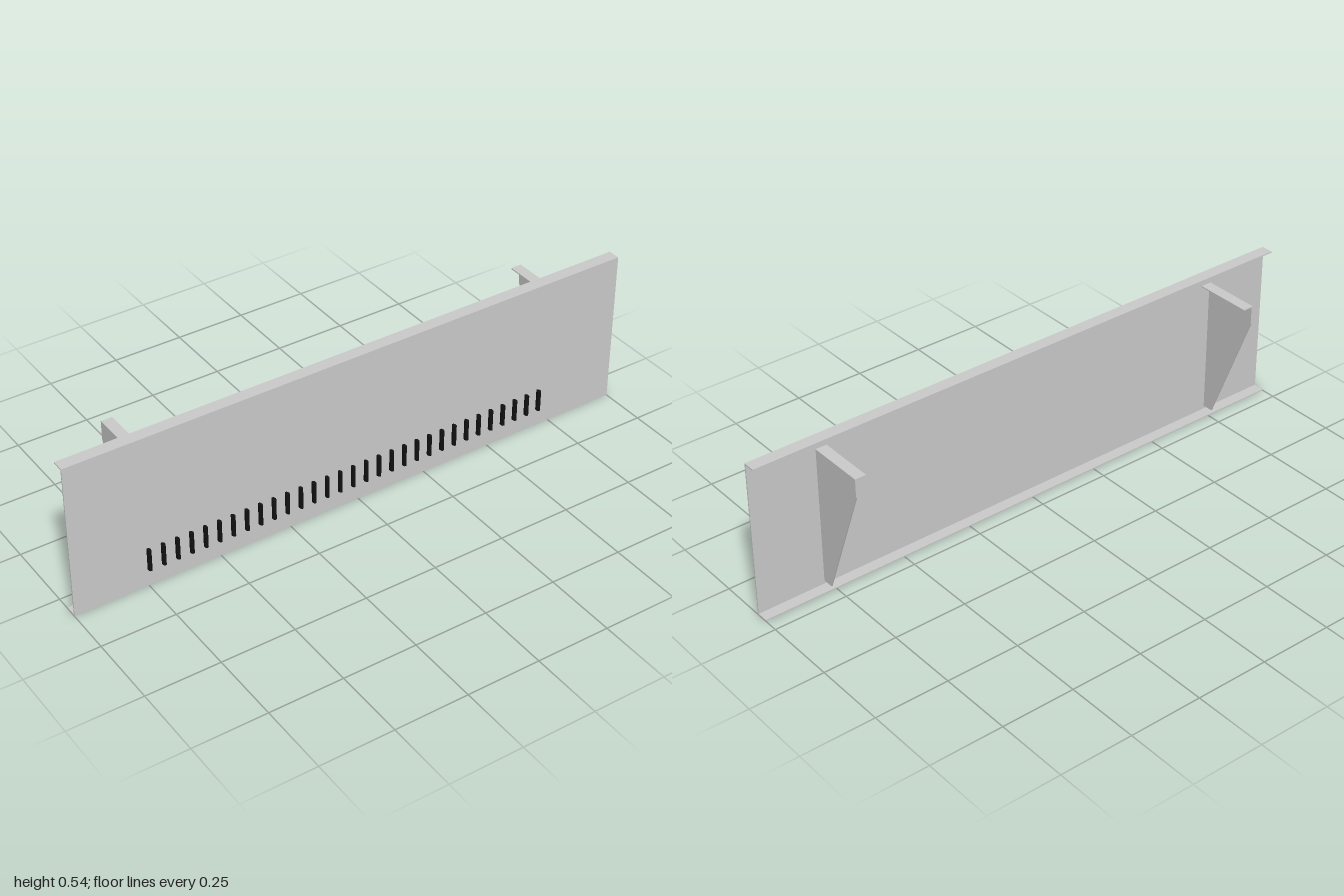
import * as THREE from 'three';

const grey = new THREE.MeshStandardMaterial({ color: 0xcccccc, flatShading: true });
const black = new THREE.MeshStandardMaterial({ color: 0x111111 });

// Extrudes a (z, y) outline along x, centred on x = 0
function extrudeAlongX(points, width) {
  const shape = new THREE.Shape(points.map(([z, y]) => new THREE.Vector2(-z, y)));
  const geometry = new THREE.ExtrudeGeometry(shape, { depth: width, bevelEnabled: false });
  return geometry.translate(0, 0, -width / 2).rotateY(Math.PI / 2);
}

function addMesh(parent, name, geometry, material) {
  const mesh = new THREE.Mesh(geometry, material);
  mesh.name = name;
  parent.add(mesh);
  return mesh;
}

// Angle bracket: tapered web on the outer side, flat flange on top pointing inward
function createBracket(side) {
  const bracket = new THREE.Group();
  bracket.name = side > 0 ? 'leftBracket' : 'rightBracket';
  const web = addMesh(bracket, 'bracketWeb', extrudeAlongX([
    [0.088, 0.015], [0.051, 0.015], [-0.109, 0.422], [-0.109, 0.486], [0.088, 0.486],
  ], 0.004), grey);
  web.position.x = side * 0.765;
  const flange = addMesh(bracket, 'bracketFlange', new THREE.BoxGeometry(0.034, 0.004, 0.197), grey);
  flange.position.set(side * 0.746, 0.484, -0.0105);
  return bracket;
}

export function createModel() {
  const model = new THREE.Group();
  model.name = 'ventPanel';

  // Folded sheet: front face with a lip turned back at top and bottom
  addMesh(model, 'foldedPanel', extrudeAlongX([
    [0.092, 0], [0.05, 0], [0.05, 0.004], [0.088, 0.004],
    [0.088, 0.531], [0.05, 0.531], [0.05, 0.535], [0.092, 0.535],
  ], 2), grey);

  for (const side of [-1, 1]) model.add(createBracket(side));

  // Row of upright black vent bars on the front
  const vents = new THREE.Group();
  vents.name = 'ventBars';
  const barGeometry = new THREE.CylinderGeometry(1, 1, 0.074, 12).scale(0.0065, 1, 0.0095);
  const count = 31;
  for (let i = 0; i < count; i++) {
    const bar = addMesh(vents, 'ventBar', barGeometry, black);
    bar.position.set(-0.748 + (1.446 * i) / (count - 1), 0.103, 0.101);
  }
  model.add(vents);

  return model;
}
